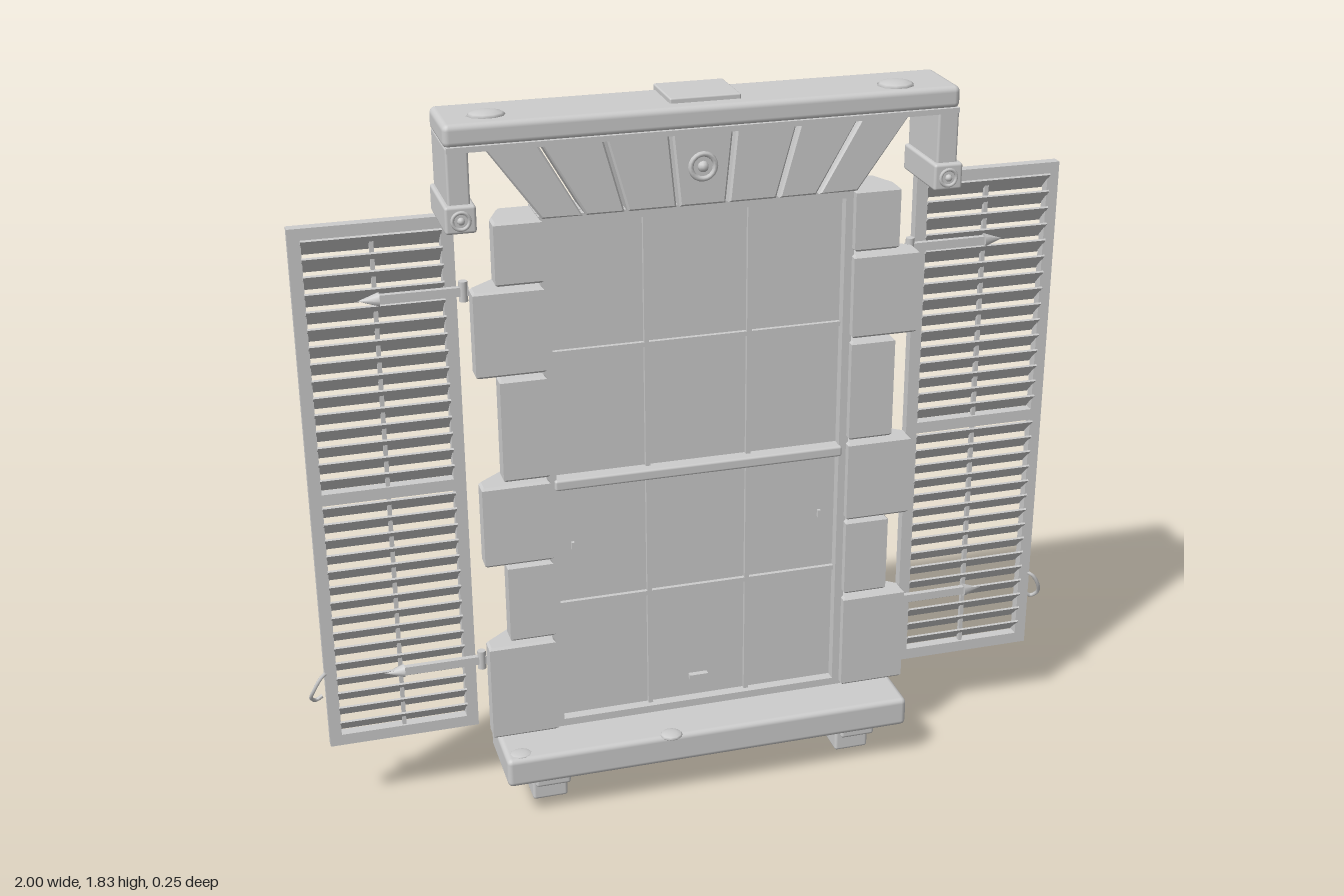
import * as THREE from 'three';
import { RoundedBoxGeometry } from 'three/addons/geometries/RoundedBoxGeometry.js';

const stone = new THREE.MeshStandardMaterial({ color: 0xcccccc });
stone.name = 'pale grey';

function add(parent, geometry, name) {
  const mesh = new THREE.Mesh(geometry, stone);
  mesh.name = name;
  parent.add(mesh);
  return mesh;
}

// Box given by its limits on each axis; r rounds the edges
function block(parent, name, x0, x1, y0, y1, z0, z1, r = 0) {
  const w = x1 - x0, h = y1 - y0, d = z1 - z0;
  const geo = r ? new RoundedBoxGeometry(w, h, d, 2, r) : new THREE.BoxGeometry(w, h, d);
  const mesh = add(parent, geo, name);
  mesh.position.set((x0 + x1) / 2, (y0 + y1) / 2, (z0 + z1) / 2);
  return mesh;
}

// Prism of an outline, slightly bevelled, spanning 0..depth
function prism(points, depth, bevel) {
  const shape = new THREE.Shape(points.map(p => new THREE.Vector2(p[0], p[1])));
  const geo = new THREE.ExtrudeGeometry(shape, {
    depth: depth - 2 * bevel, bevelEnabled: true, bevelSize: bevel,
    bevelThickness: bevel, bevelOffset: -bevel, bevelSegments: 1,
  });
  return geo.translate(0, 0, bevel);
}

function pebble(parent, name, x, y, z, sx, sy, sz) {
  const mesh = add(parent, new THREE.SphereGeometry(1, 10, 6), name);
  mesh.position.set(x, y, z);
  mesh.scale.set(sx, sy, sz);
}

function rosette(parent, x, y, z, r) {
  const g = new THREE.Group();
  g.name = 'rosette';
  g.position.set(x, y, z);
  add(g, new THREE.TorusGeometry(r, r * 0.22, 6, 20), 'rosetteRing');
  add(g, new THREE.SphereGeometry(r * 0.45, 10, 6), 'rosetteCentre');
  parent.add(g);
}

// Quoins widen towards the front and narrow to an even strip at the back
function makeQuoins(side) {
  const g = new THREE.Group();
  g.name = side > 0 ? 'leftQuoins' : 'rightQuoins';
  const rows = [[0.195, 0.457, 0.555], [0.47, 0.68, 0.5], [0.685, 0.9, 0.555],
    [0.91, 1.175, 0.5], [1.185, 1.4, 0.555], [1.41, 1.565, 0.5]];
  for (const [y0, y1, x] of rows) {
    // Outline uses x and -z, then is laid flat
    const pts = [[0.385, -0.012], [x, -0.012], [x, 0.035], [0.47, 0.105], [0.385, 0.105]]
      .map(p => [p[0] * side, p[1]]);
    const mesh = add(g, prism(pts, y1 - y0, 0.006), 'quoin');
    mesh.rotation.x = -Math.PI / 2;
    mesh.position.y = y0;
  }
  return g;
}

function makeShutter(side) {
  const g = new THREE.Group();
  g.name = side > 0 ? 'leftShutter' : 'rightShutter';
  const box = (name, a, b, ...rest) =>
    block(g, name, Math.min(a * side, b * side), Math.max(a * side, b * side), ...rest);
  // Frame
  for (const x of [0.577, 0.928]) box('shutterStile', x, x + 0.03, 0.19, 1.565, -0.105, -0.078);
  for (const y of [0.19, 0.864, 1.535]) box('shutterRail', 0.6, 0.935, y, y + 0.03, -0.105, -0.078);
  // Tilted louvres, top edge forward
  for (const y0 of [0.22, 0.894]) {
    for (let i = 0; i < 15; i++) {
      const slat = add(g, new THREE.BoxGeometry(0.325, 0.064, 0.005), 'louvre');
      slat.position.set(0.7675 * side, y0 + (i + 0.5) * 0.643 / 15, -0.09);
      slat.rotation.x = 0.8;
    }
  }
  box('tiltRod', 0.762, 0.772, 0.22, 1.535, -0.096, -0.084);
  // Strap hinges with a pointed tip
  for (const y of [0.385, 1.38]) {
    box('hingeStrap', 0.55, 0.77, y - 0.011, y + 0.011, -0.078, -0.064);
    const tip = add(g, new THREE.ConeGeometry(0.018, 0.05, 8), 'hingeTip');
    tip.rotation.z = -side * Math.PI / 2;
    tip.position.set(0.785 * side, y, -0.071);
    const pin = add(g, new THREE.CylinderGeometry(0.011, 0.011, 0.05, 10), 'hingePin');
    pin.position.set(0.562 * side, y, -0.071);
  }
  // Hook on the free edge
  const path = new THREE.CatmullRomCurve3(
    [[0.95, 0.405, -0.085], [0.968, 0.395, -0.075], [0.988, 0.36, -0.078], [0.995, 0.33, -0.095],
      [0.982, 0.315, -0.108], [0.965, 0.325, -0.108]]
      .map(p => new THREE.Vector3(p[0] * side, p[1], p[2])));
  add(g, new THREE.TubeGeometry(path, 20, 0.005, 6), 'shutterHook');
  return g;
}

function makeSash() {
  const g = new THREE.Group();
  g.name = 'window';
  block(g, 'panel', -0.392, 0.392, 0.185, 1.567, -0.107, -0.035);
  for (const s of [-1, 1]) {
    block(g, 'frameSide', s * 0.378 - 0.012, s * 0.378 + 0.012, 0.19, 1.565, -0.05, -0.008);
    block(g, 'mullion', s * 0.13 - 0.006, s * 0.13 + 0.006, 0.2, 1.55, -0.04, -0.024);
    block(g, 'sashCatch', s * 0.325 - 0.004, s * 0.325 + 0.004, 0.685, 0.705, -0.04, -0.026);
  }
  block(g, 'frameTop', -0.37, 0.37, 1.543, 1.565, -0.05, -0.008);
  block(g, 'frameBottom', -0.37, 0.37, 0.19, 0.21, -0.05, -0.008);
  for (const y of [0.535, 1.215]) block(g, 'glazingBar', -0.366, 0.366, y - 0.006, y + 0.006, -0.04, -0.024);
  block(g, 'meetingRail', -0.372, 0.372, 0.864, 0.892, -0.045, 0.002, 0.006);
  block(g, 'handle', -0.025, 0.025, 0.263, 0.275, -0.036, -0.02);
  return g;
}

function makeArch() {
  const g = new THREE.Group();
  g.name = 'flatArch';
  const top = [-0.535, -0.4, -0.24, -0.08, 0.08, 0.24, 0.4, 0.535];
  const low = [-0.39, -0.285, -0.185, -0.06, 0.06, 0.185, 0.285, 0.39];
  const gap = 0.004;
  for (let i = 0; i < 7; i++) {
    const mesh = add(g, prism([[low[i] + gap, 1.566], [low[i + 1] - gap, 1.566],
      [top[i + 1] - gap, 1.768], [top[i] + gap, 1.768]], 0.122, 0.005), 'archStone');
    mesh.position.z = -0.106;
  }
  rosette(g, 0, 1.66, 0.016, 0.03);
  return g;
}

function makeHeader() {
  const g = new THREE.Group();
  g.name = 'header';
  block(g, 'lintel', -0.615, 0.615, 1.765, 1.82, -0.108, 0.076, 0.015);
  block(g, 'lintelLip', -0.61, 0.61, 1.757, 1.77, -0.1, 0.082);
  block(g, 'lintelCap', -0.085, 0.085, 1.81, 1.832, -0.11, 0.037, 0.004);
  for (const s of [-1, 1]) {
    block(g, 'bracket', s * 0.586 - 0.026, s * 0.586 + 0.026, 1.63, 1.77, -0.107, 0.078, 0.006);
    block(g, 'bracketFoot', s * 0.586 - 0.036, s * 0.586 + 0.036, 1.573, 1.638, -0.107, 0.092, 0.007);
    rosette(g, s * 0.586, 1.604, 0.092, 0.02);
  }
  pebble(g, 'lintelPebble', -0.505, 1.82, 0.01, 0.045, 0.012, 0.035);
  pebble(g, 'lintelPebble', 0.47, 1.82, 0.02, 0.045, 0.012, 0.042);
  return g;
}

function makeSill() {
  const g = new THREE.Group();
  g.name = 'sill';
  block(g, 'sillSlab', -0.54, 0.535, 0.105, 0.185, -0.107, 0.112, 0.014);
  for (const s of [-1, 1]) {
    const x = s * 0.415;
    block(g, 'corbel', x - 0.046, x + 0.046, 0, 0.108, -0.107, 0.025, 0.008);
    block(g, 'corbelStep', x - 0.046, x + 0.046, 0.065, 0.108, -0.02, 0.07, 0.008);
  }
  pebble(g, 'sillPebble', -0.11, 0.183, 0.1, 0.03, 0.008, 0.028);
  pebble(g, 'sillPebble', -0.5, 0.183, 0.08, 0.03, 0.006, 0.025);
  // Small chip standing out of the back
  const chip = add(g, new THREE.ConeGeometry(0.035, 0.085, 6), 'backChip');
  chip.position.set(-0.14, 0.29, -0.107);
  chip.scale.z = 0.5;
  return g;
}

export function createModel() {
  const model = new THREE.Group();
  model.name = 'shutteredWindow';
  model.add(makeSash(), makeArch(), makeHeader(), makeSill());
  for (const side of [-1, 1]) model.add(makeQuoins(side), makeShutter(side));
  return model;
}
